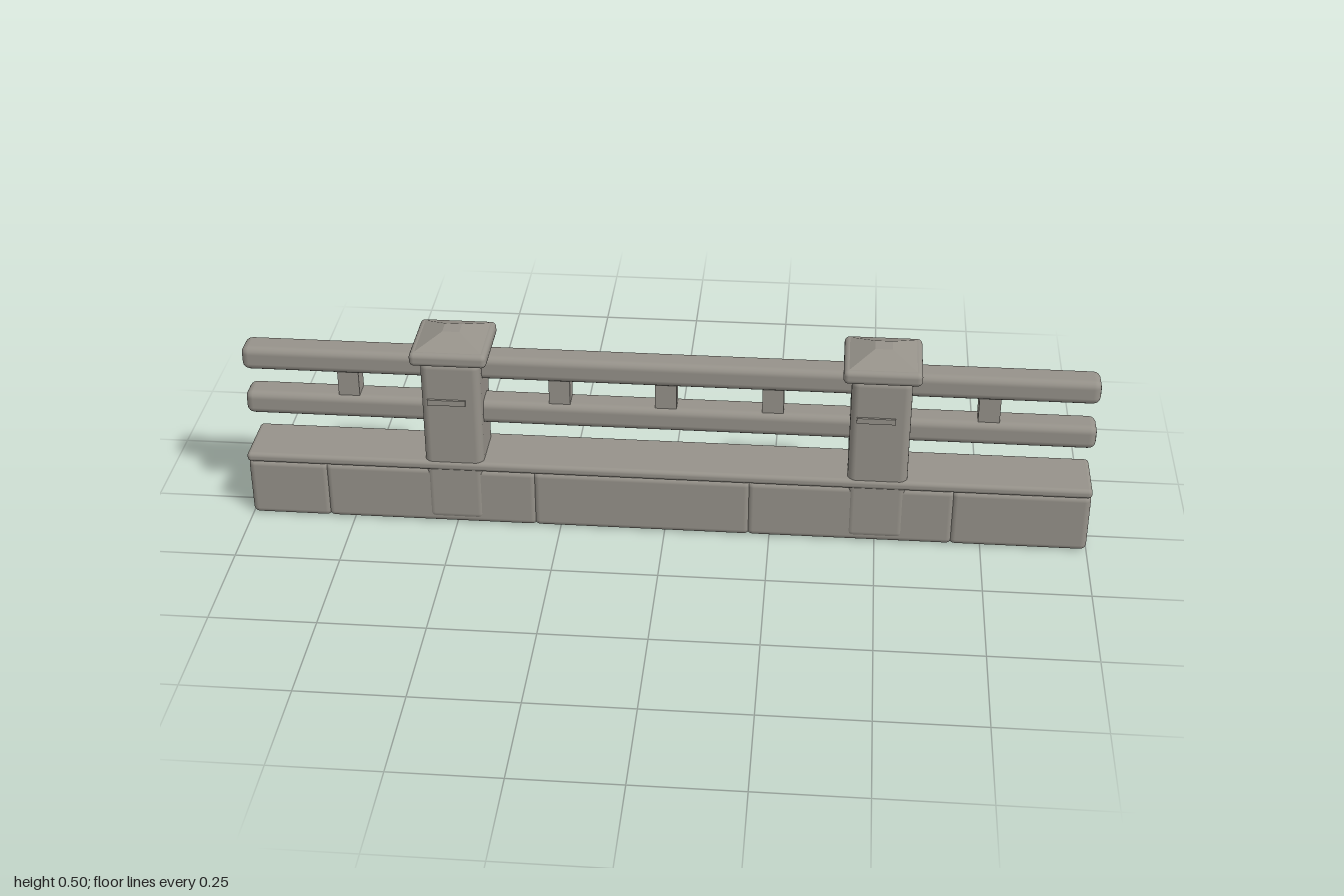
import * as THREE from 'three';
import { RoundedBoxGeometry } from 'three/addons/geometries/RoundedBoxGeometry.js';

const stone = new THREE.MeshStandardMaterial({ color: 0x96928a, side: THREE.DoubleSide });
stone.name = 'greyStone';

function add(parent, name, geometry, x, y, z) {
  const mesh = new THREE.Mesh(geometry, stone);
  mesh.name = name;
  mesh.position.set(x, y, z);
  parent.add(mesh);
  return mesh;
}

// Rounded box whose flat underside is left open
function openBox(w, h, d, r) {
  const box = new RoundedBoxGeometry(w, h, d, 3, r);
  const pos = box.attributes.position, nor = box.attributes.normal;
  const p = [], n = [];
  for (let i = 0; i < pos.count; i += 3) {
    const flat = [0, 1, 2].every((k) => pos.getY(i + k) < -h / 2 + 1e-4);
    if (flat) continue;
    for (let k = i; k < i + 3; k++) {
      p.push(pos.getX(k), pos.getY(k), pos.getZ(k));
      n.push(nor.getX(k), nor.getY(k), nor.getZ(k));
    }
  }
  const g = new THREE.BufferGeometry();
  g.setAttribute('position', new THREE.Float32BufferAttribute(p, 3));
  g.setAttribute('normal', new THREE.Float32BufferAttribute(n, 3));
  return g;
}

// Low flat-topped pyramid for the post caps
function capPeak(bottom, top, h) {
  const g = new THREE.CylinderGeometry(top * Math.SQRT2, bottom * Math.SQRT2, h, 4, 1);
  g.rotateY(Math.PI / 4);
  const flat = g.toNonIndexed();
  flat.computeVertexNormals();
  return flat;
}

export function createModel() {
  const model = new THREE.Group();
  model.name = 'stoneFence';

  // Foundation blocks, slightly overlapping so that narrow seams remain
  const seams = [-1, -0.81, -0.31, 0.2, 0.68, 1];
  const lap = 0.004;
  for (let i = 0; i < seams.length - 1; i++) {
    const a = seams[i] - (i > 0 ? lap : 0);
    const b = seams[i + 1] + (i < seams.length - 2 ? lap : 0);
    add(model, 'baseBlock', openBox(b - a, 0.15, 0.134, 0.015), (a + b) / 2, 0.075, 0);
  }

  // Ledge along the top of the foundation
  add(model, 'ledge', new RoundedBoxGeometry(2, 0.024, 0.148, 3, 0.01), 0, 0.161, 0);

  // Posts with caps and a shallow front band
  for (const x of [-0.5, 0.5]) {
    const post = new THREE.Group();
    post.name = 'post';
    post.position.x = x;
    add(post, 'postShaft', openBox(0.14, 0.43, 0.139, 0.018), 0, 0.224, 0);
    add(post, 'capSlab', new RoundedBoxGeometry(0.18, 0.034, 0.18, 3, 0.012), 0, 0.455, 0);
    add(post, 'capPeak', capPeak(0.082, 0.02, 0.027), 0, 0.4835, 0);
    add(post, 'frontBand', new THREE.BoxGeometry(0.09, 0.014, 0.008), -0.01, 0.336, 0.071);
    model.add(post);
  }

  // Horizontal rails
  for (const y of [0.289, 0.408]) {
    add(model, 'rail', new RoundedBoxGeometry(2, 0.06, 0.07, 2, 0.018), 0, y, 0);
  }

  // Short balusters between the rails
  for (const x of [-0.75, -0.25, 0, 0.25, 0.75]) {
    add(model, 'baluster', new THREE.BoxGeometry(0.05, 0.09, 0.048), x, 0.348, 0);
  }

  return model;
}
